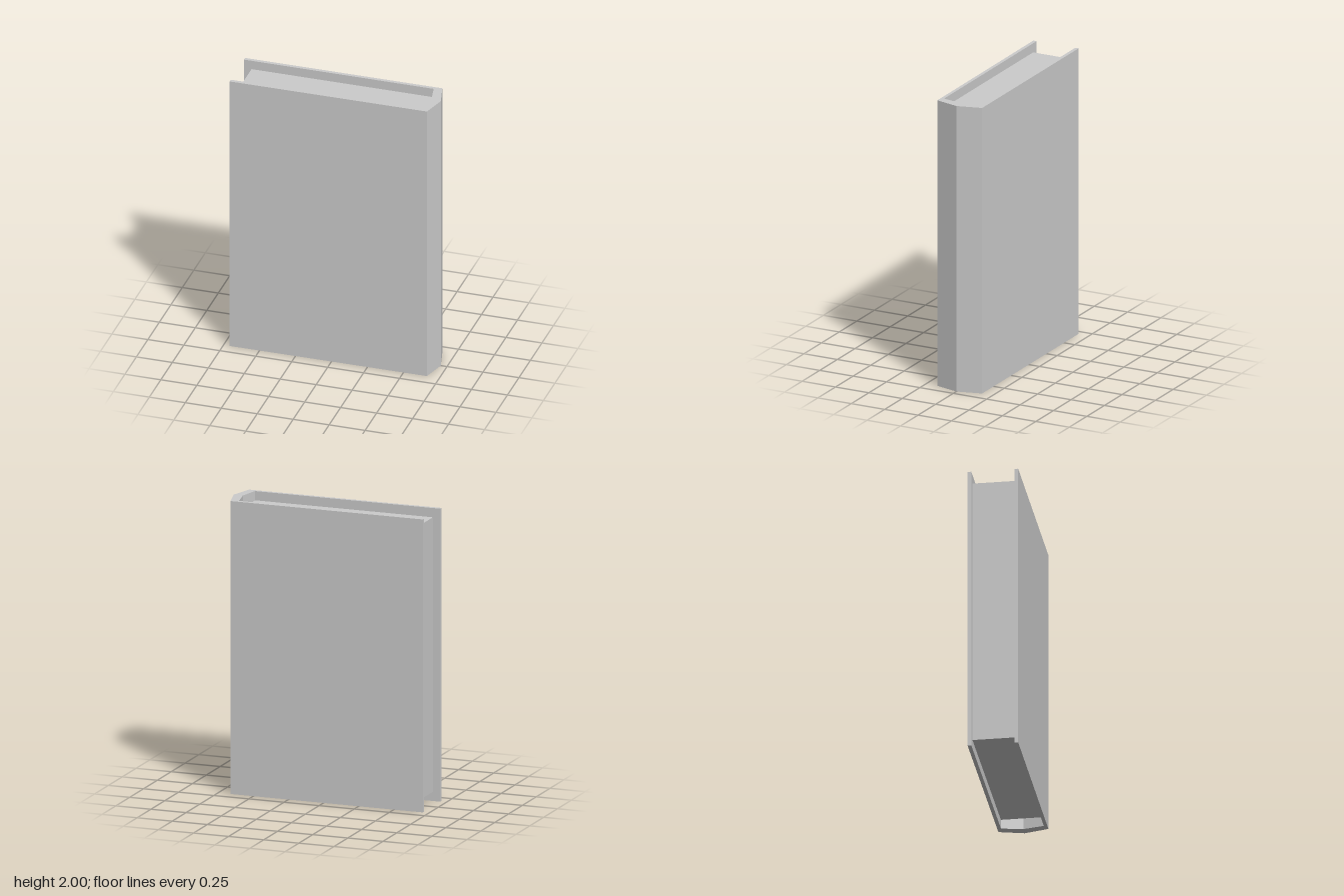
import * as THREE from 'three';

const HEIGHT = 2;
const INSET = 0.063; // how far the pages sit below the cover edges

export function createModel() {
  const book = new THREE.Group();
  book.name = 'book';
  const material = new THREE.MeshStandardMaterial({ color: 0xcccccc, flatShading: true });

  // Cover: two boards joined by a pointed spine, as one plan outline (x, z) raised along y
  const outer = [[-0.707, 0.169], [0.663, 0.165], [0.707, 0], [0.663, -0.17], [-0.707, -0.17]];
  const inner = [[-0.707, -0.145], [0.611, -0.145], [0.641, 0], [0.611, 0.142], [-0.707, 0.144]];
  const outline = new THREE.Shape([...outer, ...inner].map(([x, z]) => new THREE.Vector2(x, z)));
  const coverGeometry = new THREE.ExtrudeGeometry(outline, { depth: HEIGHT, bevelEnabled: false });
  coverGeometry.rotateX(Math.PI / 2).translate(0, HEIGHT, 0);
  const cover = new THREE.Mesh(coverGeometry, material);
  cover.name = 'cover';
  book.add(cover);

  // Page block: set in from the cover at top, bottom and fore edge, with a gap at the spine
  const left = -0.655, right = 0.609, back = -0.145, front = 0.143;
  const pages = new THREE.Mesh(
    new THREE.BoxGeometry(right - left, HEIGHT - 2 * INSET, front - back),
    material
  );
  pages.name = 'pages';
  pages.position.set((left + right) / 2, HEIGHT / 2, (front + back) / 2);
  book.add(pages);

  return book;
}
